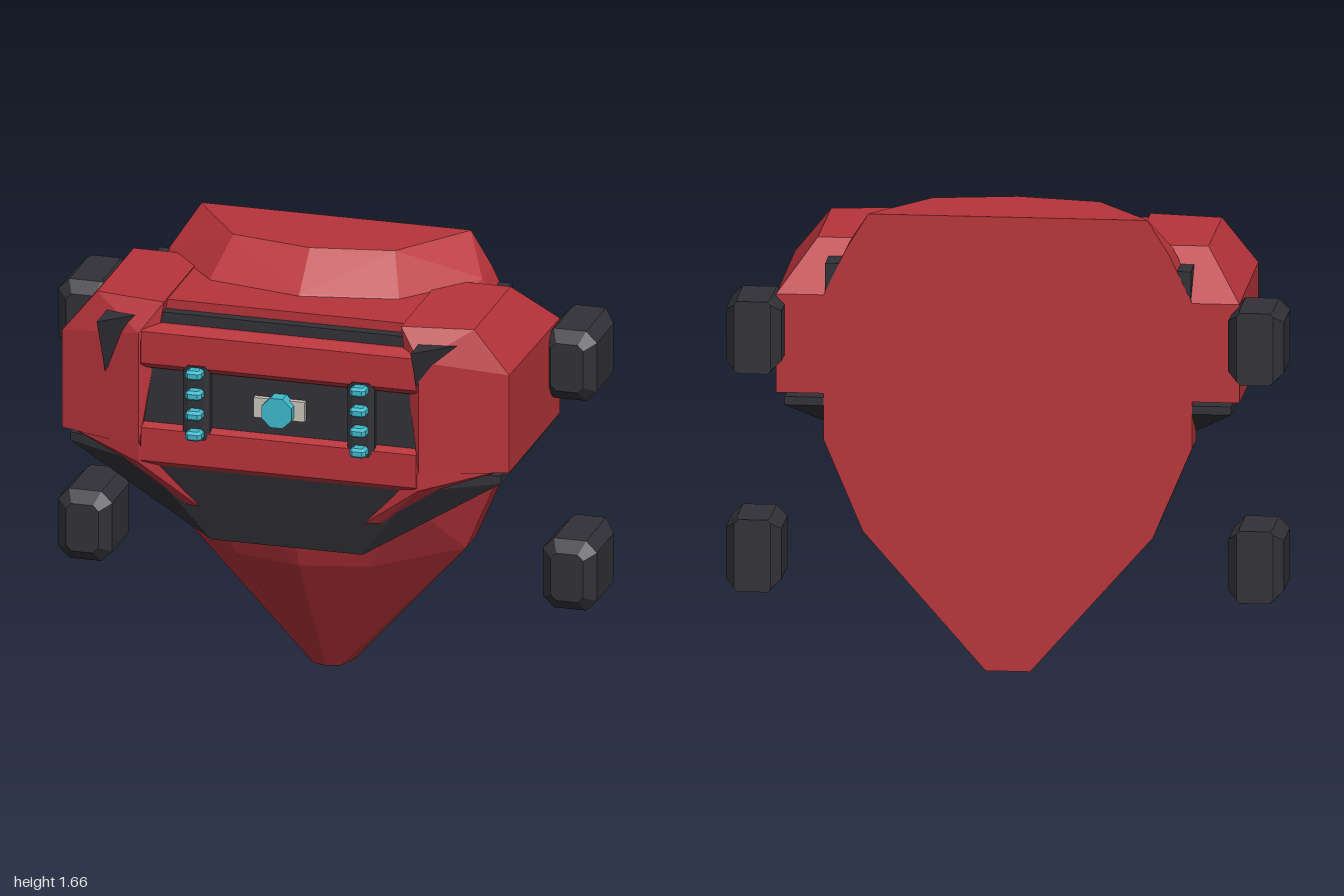
import * as THREE from 'three';
import { ConvexGeometry } from 'three/addons/geometries/ConvexGeometry.js';

function material(name, color) {
  const m = new THREE.MeshStandardMaterial({ color });
  m.name = name;
  return m;
}

export function createModel() {
  const red = material('red armour', 0xb8343b);
  const dark = material('dark metal', 0x323137);
  const cyan = material('cyan light', 0x3fbacd);
  const grey = material('pale grey', 0xc8c5ba);
  const model = new THREE.Group();
  model.name = 'armouredTorso';

  const add = (name, geometry, mat, x = 0, y = 0, z = 0) => {
    const mesh = new THREE.Mesh(geometry, mat);
    mesh.name = name;
    mesh.position.set(x, y, z);
    model.add(mesh);
    return mesh;
  };
  // Faceted solid from its corner points
  const hull = (name, points, mat) =>
    add(name, new ConvexGeometry(points.map(p => new THREE.Vector3(...p))), mat);
  const flip = (points, s) => points.map(([x, y, z]) => [x * s, y, z]);
  const both = points => [...points, ...flip(points, -1)];
  const box = (name, x0, x1, y0, y1, z0, z1, mat) =>
    add(name, new THREE.BoxGeometry(x1 - x0, y1 - y0, z1 - z0), mat,
      (x0 + x1) / 2, (y0 + y1) / 2, (z0 + z1) / 2);

  // Back shield: rows of height, half width, side z, facet x, facet z, ridge z
  const rows = [
    [0, 0.08, -0.29, 0.05, -0.21, -0.195],
    [0.5, 0.52, -0.2, 0.25, 0.08, 0.14],
    [0.83, 0.66, -0.2, 0.38, 0.2, 0.28],
    [1.36, 0.66, -0.2, 0.38, 0.2, 0.28],
    [1.53, 0.58, -0.2, 0.35, 0.07, 0.14],
    [1.66, 0.5, -0.325, 0.3, -0.05, 0.005],
  ];
  hull('backShield', rows.flatMap(([y, w, sz, m, mz, f]) =>
    [...both([[w, y, -0.33], [w, y, sz], [m, y, mz]]), [0, y, f]]), red);

  // Dark inner core and tapered belly
  box('innerCore', -0.655, 0.655, 0.97, 1.475, -0.328, 0.33, dark);
  hull('belly', both([
    [0.8, 0.985, 0.31], [0.8, 0.955, 0.31], [0.8, 0.985, -0.329], [0.8, 0.955, -0.329],
    [0.5, 0.985, 0.385], [0.5, 0.92, 0.385], [0.28, 0.625, 0.295], [0.28, 0.625, 0.15],
  ]), dark);

  for (const s of [1, -1]) {
    const side = s > 0 ? 'left' : 'right';
    // Shoulder block
    hull(side + 'Shoulder', flip([
      [0.44, 1.53, 0.35], [0.7, 1.53, 0.31], [0.7, 1.53, -0.15], [0.44, 1.53, -0.15],
      [0.83, 1.37, 0.31], [0.83, 1.36, -0.33], [0.83, 1.0, 0.31], [0.83, 1.0, -0.33],
      [0.52, 1.42, 0.4], [0.52, 0.99, 0.4], [0.52, 1.36, -0.33], [0.52, 1.0, -0.33],
    ], s), red);
    // Pointed rib below the shoulder
    hull(side + 'Rib', flip([
      [0.78, 0.998, 0.315], [0.52, 1.0, 0.4], [0.52, 0.93, 0.4], [0.305, 0.77, 0.362],
      [0.36, 0.77, 0.345], [0.6, 0.98, 0.25], [0.35, 0.79, 0.3],
    ], s), red);
  }

  // Spikes on the shoulders, both pointing the same way
  for (const [name, x] of [['rightSpike', -0.655], ['leftSpike', 0.51]]) {
    hull(name, [
      [x, 1.475, 0.47], [x, 1.475, 0.3], [x + 0.14, 1.475, 0.34], [x, 1.25, 0.365],
    ], dark);
  }

  // Chest front: top plate, slot, two bars and the panel between them
  box('chestTop', -0.45, 0.45, 1.38, 1.525, -0.2, 0.305, red);
  box('topSlot', -0.46, 0.46, 1.3, 1.49, 0.2, 0.345, dark);
  const bar = (name, y0, y1) => hull(name, both([
    [0.52, y0, 0.25], [0.52, y0, 0.385], [0.51, y0 + 0.02, 0.402],
    [0.51, y1 - 0.02, 0.402], [0.52, y1, 0.36], [0.52, y1, 0.25],
  ]), red);
  bar('upperBar', 1.29, 1.45);
  bar('lowerBar', 0.92, 1.085);
  box('chestPanel', -0.52, 0.52, 1.08, 1.3, 0.25, 0.375, dark);

  // Light strips with four lamps each
  for (const s of [1, -1]) {
    const x = s * 0.305;
    hull('lightStrip', [-1, 1].flatMap(k => [
      [x + k * 0.05, 1.04, 0.34], [x + k * 0.05, 1.32, 0.34],
      [x + k * 0.05, 1.06, 0.398], [x + k * 0.05, 1.30, 0.398],
      [x + k * 0.03, 1.04, 0.407], [x + k * 0.03, 1.32, 0.407],
    ]), dark);
    for (let i = 0; i < 4; i++) {
      const y = 1.065 + i * 0.077;
      hull('lamp', [-1, 1].flatMap(k => [-1, 1].flatMap(j => [
        [x + k * 0.03, y + j * 0.009, 0.39], [x + k * 0.018, y + j * 0.018, 0.39],
        [x + k * 0.03, y + j * 0.009, 0.44], [x + k * 0.018, y + j * 0.018, 0.44],
        [x + k * 0.018, y + j * 0.009, 0.452],
      ])), cyan);
    }
  }

  // Centre emblem plate and round core light
  box('corePlate', -0.095, 0.095, 1.145, 1.22, 0.36, 0.395, grey);
  const disc = new THREE.CylinderGeometry(0.06, 0.06, 0.06, 8).toNonIndexed();
  disc.rotateY(Math.PI / 8).rotateX(Math.PI / 2);
  disc.computeVertexNormals();
  add('coreLight', disc, cyan, 0, 1.18, 0.398);

  // Four floating chamfered thrusters: z, half width, half height, corner cut
  const slices = [[-0.18, 0.06, 0.09, 0.02], [-0.22, 0.1, 0.132, 0.04],
    [-0.43, 0.1, 0.132, 0.04], [-0.475, 0.065, 0.132, 0.012]];
  for (const s of [1, -1]) for (const y of [1.23, 0.433]) {
    const points = slices.flatMap(([z, w, h, c]) => [-1, 1].flatMap(a => [-1, 1].flatMap(b => [
      [s * 0.9 + a * w, y + b * (h - c), z], [s * 0.9 + a * (w - c), y + b * h, z],
    ])));
    hull((s > 0 ? 'left' : 'right') + (y > 1 ? 'Upper' : 'Lower') + 'Thruster', points, dark);
  }

  return model;
}
